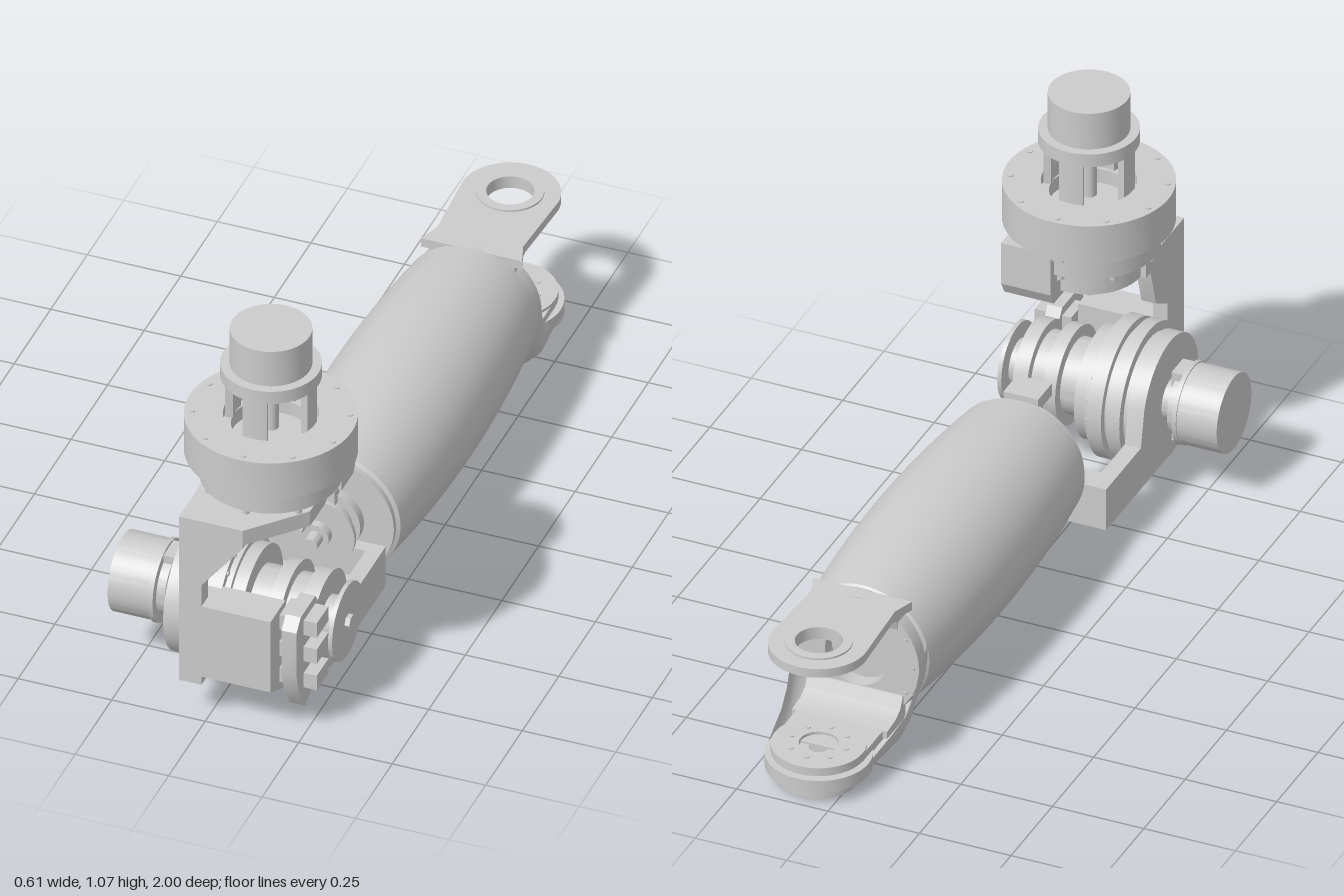
import * as THREE from 'three';
import { toCreasedNormals } from 'three/addons/utils/BufferGeometryUtils.js';

const mat = new THREE.MeshStandardMaterial({ color: 0xcccccc, side: THREE.DoubleSide });
const V = (x, y) => new THREE.Vector2(x, y);
const CX = 0.086, CY = 0.235, JZ = 0.77, TZ = -0.865;

function add(parent, name, geo) {
  const mesh = new THREE.Mesh(geo, mat);
  mesh.name = name;
  parent.add(mesh);
  return mesh;
}

function group(parent, name, x, y, z) {
  const g = new THREE.Group();
  g.name = name;
  g.position.set(x, y, z);
  parent.add(g);
  return g;
}

// turned part about local y from [radius, height] pairs
function turn(parent, name, pts, seg = 64) {
  const geo = new THREE.LatheGeometry(pts.map(p => V(p[0], p[1])), seg);
  return add(parent, name, toCreasedNormals(geo, 0.5));
}
const disc = (parent, name, r, y0, y1, seg) =>
  turn(parent, name, [[0, y0], [r, y0], [r, y1], [0, y1]], seg);
const ring = (parent, name, ri, ro, y0, y1) =>
  turn(parent, name, [[ri, y0], [ro, y0], [ro, y1], [ri, y1], [ri, y0]]);

// box from its corners
function box(parent, name, x0, x1, y0, y1, z0, z1) {
  const geo = new THREE.BoxGeometry(x1 - x0, y1 - y0, z1 - z0);
  geo.translate((x0 + x1) / 2, (y0 + y1) / 2, (z0 + z1) / 2);
  return add(parent, name, geo);
}

const extrude = (shape, depth) => toCreasedNormals(
  new THREE.ExtrudeGeometry(shape, { depth, bevelEnabled: false, curveSegments: 24 }), 0.5);

// upright plate, outline in [z, y], thickness along x
function sidePlate(parent, name, pts, x0, x1) {
  const geo = extrude(new THREE.Shape(pts.map(p => V(-p[0], p[1]))), x1 - x0);
  return add(parent, name, geo.rotateY(Math.PI / 2).translate(x0, 0, 0));
}

// flat plate, outline in (x, z), thickness along y
function flatPlate(parent, name, shape, y0, y1) {
  return add(parent, name, extrude(shape, y1 - y0).rotateX(Math.PI / 2).translate(0, y1, 0));
}

// small bolts on a circle about local y
function bolts(parent, name, n, radius, r, y0, y1, phase = 0) {
  for (let i = 0; i < n; i++) {
    const a = phase + i * 2 * Math.PI / n;
    disc(parent, name, r, y0, y1, 10).position.set(Math.cos(a) * radius, 0, Math.sin(a) * radius);
  }
}

function circleHole(shape, x, y, r) {
  shape.holes.push(new THREE.Path().absarc(x, y, r, 0, Math.PI * 2, true));
}

// arc outline points in [z, y] around the pitch axis
function arc(r, a0, a1, n = 24) {
  return Array.from({ length: n + 1 }, (_, i) => {
    const a = a0 + (a1 - a0) * i / n;
    return [JZ + r * Math.cos(a), CY + r * Math.sin(a)];
  });
}

function shoulderDrive(root) {
  const g = group(root, 'shoulderDrive', CX, 0, JZ);
  disc(g, 'topMotor', 0.103, 0.97, 1.08);
  ring(g, 'motorFlange', 0.06, 0.127, 0.938, 0.975);
  // cage posts between flange and drum
  for (let i = 0; i < 4; i++) {
    const a = i * Math.PI / 2, h = 0.29;
    const s = new THREE.Shape();
    s.absarc(0, 0, 0.115, a - h, a + h, false);
    s.absarc(0, 0, 0.095, a + h, a - h, true);
    flatPlate(g, 'cagePost', s, 0.8, 0.945);
  }
  disc(g, 'driveShaft', 0.02, 0.78, 0.97, 24).visible = true;
  turn(g, 'bearingDrum', [[0, 0.64], [0.18, 0.64], [0.18, 0.705], [0.217, 0.71], [0.217, 0.82],
    [0.12, 0.82], [0.12, 0.79], [0.1, 0.79], [0.1, 0.75], [0, 0.75]]);
  bolts(g, 'drumBolt', 10, 0.197, 0.008, 0.815, 0.823, 0.3);
  disc(g, 'outputHub', 0.135, 0.6, 0.645);
  // tabs and screws under the drum rim
  for (let i = 0; i < 8; i++) {
    const tab = box(g, 'rimTab', 0.165, 0.195, 0.69, 0.71, -0.016, 0.016);
    tab.rotation.y = i * Math.PI / 4;
  }
  bolts(g, 'rimScrew', 8, 0.17, 0.009, 0.628, 0.7);
  sidePlate(g, 'rearClip', [[-0.2, 0.71], [-0.2, 0.59], [-0.18, 0.555], [-0.1, 0.555],
    [-0.1, 0.6], [-0.16, 0.61], [-0.16, 0.71]], 0.015, 0.15);
  disc(g, 'encoderDisc', 0.11, 0.55, 0.605, 12);
  box(g, 'sensorBoard', -0.03, 0.11, 0.525, 0.535, -0.05, 0.07);
  disc(g, 'sensorStem', 0.03, 0.53, 0.56, 20);
  disc(g, 'encoderShaft', 0.018, 0.49, 0.53, 20);
  turn(g, 'sensorCone', [[0, 0.505], [0.006, 0.505], [0.02, 0.52], [0, 0.52]], 16).position.set(0.05, 0, -0.04);
}

function hangerBracket(root) {
  const g = group(root, 'hangerBracket', 0, 0, 0);
  const shelf = new THREE.Shape([V(-0.07, 1), V(-0.07, 0.77)]);
  shelf.absarc(CX, JZ, 0.14, Math.PI, Math.PI * 2, false);
  shelf.lineTo(0.226, 0.86);
  shelf.lineTo(0.1, 1);
  flatPlate(g, 'shelf', shelf, 0.57, 0.615);
  const wall = new THREE.Shape([V(-0.07, 0.615), V(-0.07, 0.115), V(-0.01, 0.115), V(-0.01, 0.42),
    V(0.1, 0.56), V(0.1, 0.615)]);
  add(g, 'frontWall', extrude(wall, 0.045).translate(0, 0, 0.955));
  sidePlate(g, 'sideWall', [[1, 0.615], [0.8, 0.615], [0.8, 0.56], [0.83, 0.46], [0.9, 0.42],
    [0.9, 0.12], [1, 0.12]], -0.07, -0.03);
  sidePlate(g, 'frontBox', [[1, 0.355], [0.9, 0.355], [0.9, 0.09], [0.95, 0.115], [1, 0.14]], -0.03, 0.175);
}

function elbowJoint(root) {
  // local y runs along x here
  const g = group(root, 'elbowDrive', 0, CY, JZ);
  g.rotation.z = -Math.PI / 2;
  disc(g, 'sideMotor', 0.105, -0.31, -0.19);
  disc(g, 'sideMotorFlange', 0.109, -0.2, -0.188);
  turn(g, 'motorNeck', [[0, -0.19], [0.085, -0.19], [0.085, -0.165], [0.055, -0.16], [0.055, -0.09], [0, -0.09]]);
  for (const s of [-1, 1]) box(g, 'motorLug', s * 0.08 - 0.02, s * 0.08 + 0.02, -0.19, -0.155, -0.035, 0.035);
  turn(g, 'elbowDrum', [[0, -0.095], [0.16, -0.095], [0.16, -0.08], [0.185, -0.08], [0.185, -0.045],
    [0.165, -0.045], [0.165, -0.03], [0.185, -0.03], [0.185, 0.01], [0.165, 0.01], [0.165, 0.025],
    [0.15, 0.025], [0.15, 0.06], [0.1, 0.06], [0.1, 0.12], [0.13, 0.12], [0.13, 0.155], [0.1, 0.155],
    [0.1, 0.205], [0, 0.205]]);
  bolts(g, 'elbowBolt', 20, 0.175, 0.006, 0.01, 0.014);
  disc(g, 'bearingCap', 0.06, 0.2, 0.285, 32);
  disc(g, 'encoderCover', 0.104, 0.279, 0.29);
  disc(g, 'coverScrew', 0.02, 0.285, 0.303, 6);

  // lower fork that carries the arm
  const f = group(root, 'elbowFork', 0, 0, 0);
  sidePlate(f, 'leftArm', [[0.395, 0.07], [0.72, 0.07], ...arc(0.168, -1.5, Math.PI * 0.9),
    [0.59, 0.19], [0.395, 0.19]], -0.137, -0.093);
  sidePlate(f, 'rightArm', [[0.395, 0.07], [0.75, 0.07], ...arc(0.125, -1.35, Math.PI * 0.95),
    [0.64, 0.2], [0.59, 0.19], [0.395, 0.19]], 0.2, 0.24);
  sidePlate(f, 'frontLug', [[0.99, 0.33], [0.96, 0.36], [0.86, 0.36], [0.82, 0.3], [0.82, 0.13],
    [0.93, 0.07], [0.97, 0.13], [0.99, 0.2]], 0.2, 0.24);
  for (const y of [0.155, 0.235, 0.315]) box(f, 'encoderSpacer', 0.175, 0.275, y - 0.022, y + 0.022, 0.86, 0.94);
  const floor = new THREE.Shape([V(-0.137, 0.38), V(0.24, 0.38), V(0.24, 0.62), V(0.2, 0.62),
    V(0.16, 0.57), V(-0.05, 0.57), V(-0.093, 0.62), V(-0.137, 0.62)]);
  const slot = new THREE.Path();
  slot.absarc(-0.015, 0.485, 0.04, Math.PI / 2, Math.PI * 1.5, false);
  slot.absarc(0.12, 0.485, 0.04, -Math.PI / 2, Math.PI / 2, false);
  floor.holes.push(slot);
  flatPlate(f, 'slottedFloor', floor, 0.07, 0.105);
  box(f, 'rearCrossWall', -0.137, 0.24, 0.07, 0.19, 0.38, 0.415);
}

function forearm(root) {
  // local y runs along z here
  const g = group(root, 'forearm', CX, CY, 0);
  g.rotation.x = Math.PI / 2;
  const skin = [[0, -0.6], [0.174, -0.6], [0.18, -0.595]];
  for (let i = 1; i < 16; i++) {
    const t = i / 16 * 2 - 1;
    skin.push([0.208 - 0.028 * t * t, -0.125 + 0.47 * t]);
  }
  skin.push([0.18, 0.345], [0.17, 0.35], [0.17, 0.365], [0, 0.365]);
  turn(g, 'forearmShell', skin, 80);
  turn(g, 'rollHub', [[0, 0.36], [0.09, 0.36], [0.09, 0.39], [0.07, 0.39], [0.07, 0.425], [0, 0.425]]);
  disc(g, 'rollEncoder', 0.095, 0.43, 0.442, 40);
  disc(g, 'rollShaft', 0.02, 0.44, 0.505, 20);
  disc(g, 'rollCollar', 0.035, 0.44, 0.465, 20);
  box(root, 'sensorClamp', 0.04, 0.135, 0.385, 0.42, 0.36, 0.445);
  box(root, 'clampPost', 0.06, 0.115, 0.3, 0.39, 0.375, 0.41);
  // end wall with bore
  ring(g, 'wristWall', 0.085, 0.172, -0.64, -0.6);
  bolts(g, 'wallBolt', 12, 0.155, 0.006, -0.646, -0.638);
}

function wristFork(root) {
  const g = group(root, 'wristFork', 0, 0, 0);
  // upper tongue, widening into the end wall
  const tongue = new THREE.Shape([V(CX - 0.135, -0.6), V(CX - 0.115, -0.66)]);
  tongue.absarc(CX, TZ, 0.127, Math.PI, Math.PI * 2, false);
  tongue.lineTo(CX + 0.115, -0.66);
  tongue.lineTo(CX + 0.135, -0.6);
  circleHole(tongue, CX, TZ, 0.06);
  flatPlate(g, 'upperTongue', tongue, 0.38, 0.405);
  sidePlate(g, 'upperRoot', [[-0.6, 0.4], [-0.6, 0.34], [-0.64, 0.34], [-0.65, 0.37], [-0.69, 0.385]],
    CX - 0.115, CX + 0.115);
  const hub = group(g, 'wristBearing', CX, 0, TZ);
  ring(hub, 'upperRim', 0.06, 0.085, 0.375, 0.41);
  // lower tongue and bearing stack
  ring(hub, 'lowerPlate', 0.05, 0.12, 0.085, 0.108);
  ring(hub, 'bearingGroove', 0.05, 0.11, 0.075, 0.09);
  ring(hub, 'lowerRim', 0.05, 0.135, 0.045, 0.08);
  ring(hub, 'bottomCap', 0.035, 0.1, 0.006, 0.05);
  ring(hub, 'hubInsert', 0.025, 0.05, 0.02, 0.095);
  bolts(hub, 'bearingBolt', 8, 0.075, 0.007, 0.105, 0.111);
  box(g, 'lowerBridge', CX - 0.118, CX + 0.118, 0.075, 0.1, TZ, -0.7);

  // scooped fairing lofted from the end wall to the lower tongue: [z, half width, rim y, bottom y]
  const sections = [[-0.6, 0.178, 0.29, 0.06], [-0.63, 0.174, 0.25, 0.04], [-0.66, 0.17, 0.18, 0.018],
    [-0.7, 0.162, 0.13, 0.008], [-0.76, 0.15, 0.105, 0.008], [-0.82, 0.142, 0.092, 0.015],
    [-0.87, 0.135, 0.08, 0.025]];
  const M = 24, pos = [], idx = [];
  sections.forEach(([z, w, top, bot], i) => {
    for (let j = 0; j <= M; j++) {
      const a = Math.PI * j / M, c = Math.cos(a), s = Math.sin(a);
      pos.push(CX - w * Math.sign(c) * Math.abs(c) ** 0.8, top - (top - bot) * s ** 0.8, z);
      if (i && j) {
        const p = i * (M + 1) + j, q = p - M - 1;
        idx.push(q - 1, p - 1, q, q, p - 1, p);
      }
    }
  });
  const geo = new THREE.BufferGeometry();
  geo.setAttribute('position', new THREE.Float32BufferAttribute(pos, 3));
  geo.setIndex(idx);
  geo.computeVertexNormals();
  add(g, 'lowerFairing', geo);
  // curved inner face joining wall and lower tongue
  sidePlate(g, 'innerFillet', [[-0.63, 0.15], [-0.645, 0.15], [-0.66, 0.12], [-0.69, 0.105],
    [-0.74, 0.1], [-0.74, 0.08], [-0.63, 0.08]], CX - 0.13, CX + 0.13);
}

export function createModel() {
  const root = new THREE.Group();
  root.name = 'roboticArm';
  shoulderDrive(root);
  hangerBracket(root);
  elbowJoint(root);
  forearm(root);
  wristFork(root);
  return root;
}
